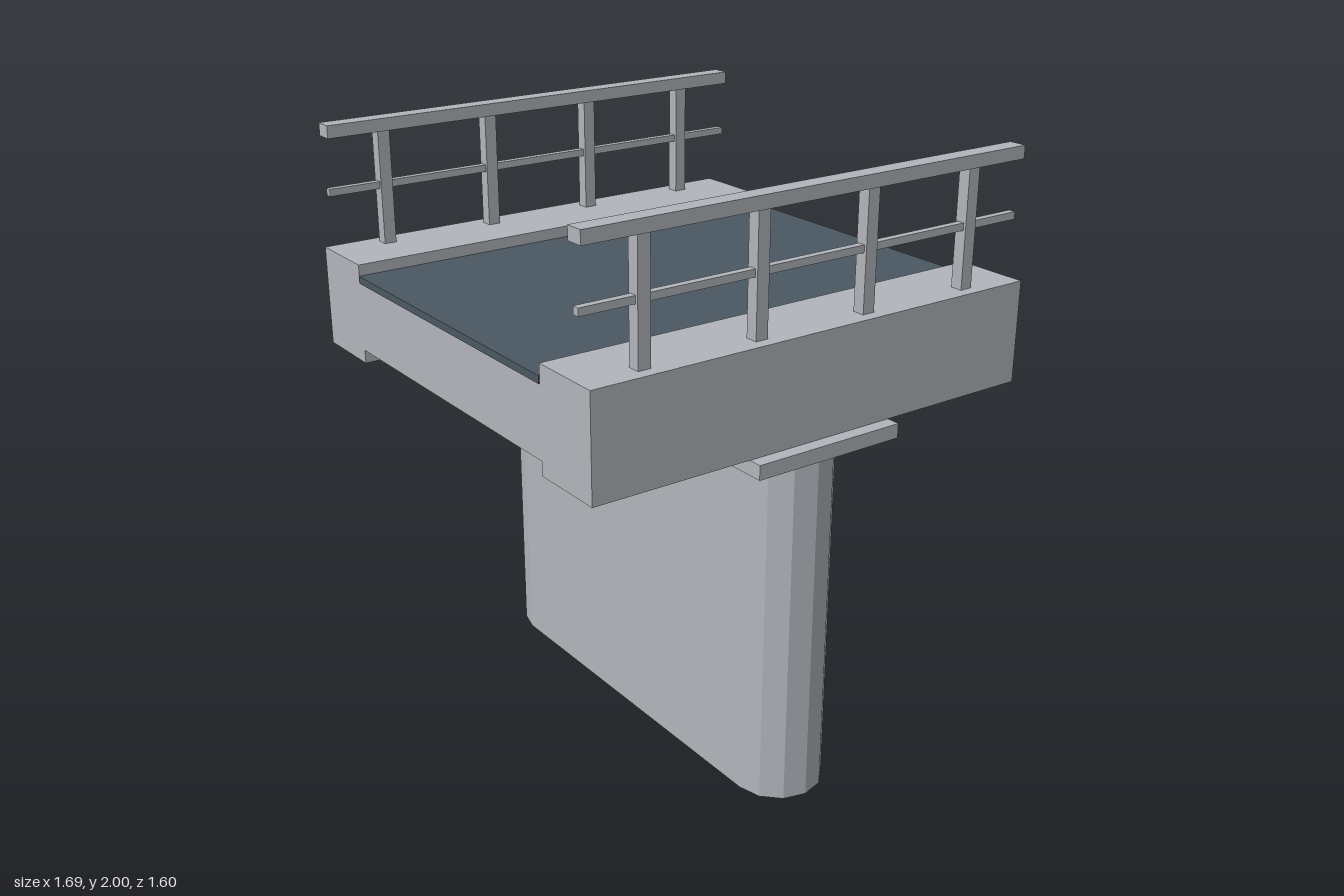
import * as THREE from 'three';

const concrete = new THREE.MeshStandardMaterial({ color: 0xb2b5bc, flatShading: true });
concrete.name = 'concrete';
const asphalt = new THREE.MeshStandardMaterial({ color: 0x4b5862, flatShading: true });
asphalt.name = 'asphalt';

function add(parent, name, geometry, material, x = 0, y = 0, z = 0) {
  const mesh = new THREE.Mesh(geometry, material);
  mesh.name = name;
  mesh.position.set(x, y, z);
  parent.add(mesh);
  return mesh;
}

// Box given by its size, bottom height and centre
function box(parent, name, w, h, d, x, bottom, z, material = concrete) {
  return add(parent, name, new THREE.BoxGeometry(w, h, d), material, x, bottom + h / 2, z);
}

export function createModel() {
  const model = new THREE.Group();
  model.name = 'bridgeSection';

  // Pier: wall with faceted half-round ends
  const outline = [];
  for (const side of [1, -1]) {
    for (let i = 0; i <= 6; i++) {
      const a = -Math.PI / 2 + (i * Math.PI) / 6;
      outline.push(new THREE.Vector2(side * (0.645 + 0.15 * Math.cos(a)), side * 0.15 * Math.sin(a)));
    }
  }
  const pier = new THREE.ExtrudeGeometry(new THREE.Shape(outline), { depth: 1.2, bevelEnabled: false });
  pier.rotateX(-Math.PI / 2);
  add(model, 'pier', pier, concrete);

  // Bearing slab on top of the pier
  box(model, 'pierCap', 1.69, 0.047, 0.53, 0, 1.198, 0);

  // Deck: raised kerbs above, recess between the edge beams below
  const half = [[0.55, 1.29], [0.55, 1.245], [0.8, 1.245], [0.8, 1.58], [0.55, 1.58], [0.55, 1.53]];
  const profile = [
    ...half,
    ...half.map(([x, y]) => [-x, y]).reverse(),
  ].map(([x, y]) => new THREE.Vector2(x, y));
  const deck = new THREE.ExtrudeGeometry(new THREE.Shape(profile), { depth: 1.6, bevelEnabled: false });
  add(model, 'deck', deck, concrete, 0, 0, -0.8);

  // Road surface, with its ends just proud of the deck
  box(model, 'roadSurface', 1.098, 0.024, 1.604, 0, 1.519, 0, asphalt);

  // Railings on both sides
  for (const side of [1, -1]) {
    const railing = new THREE.Group();
    railing.name = side > 0 ? 'leftRailing' : 'rightRailing';
    railing.position.x = side * 0.739;
    model.add(railing);
    box(railing, 'handrail', 0.06, 0.042, 1.6, 0, 1.958, 0);
    box(railing, 'middleRail', 0.024, 0.024, 1.6, 0, 1.766, 0);
    for (const z of [-0.6, -0.2, 0.2, 0.6]) {
      box(railing, 'post', 0.042, 0.38, 0.042, 0, 1.58, z);
    }
  }
  return model;
}
